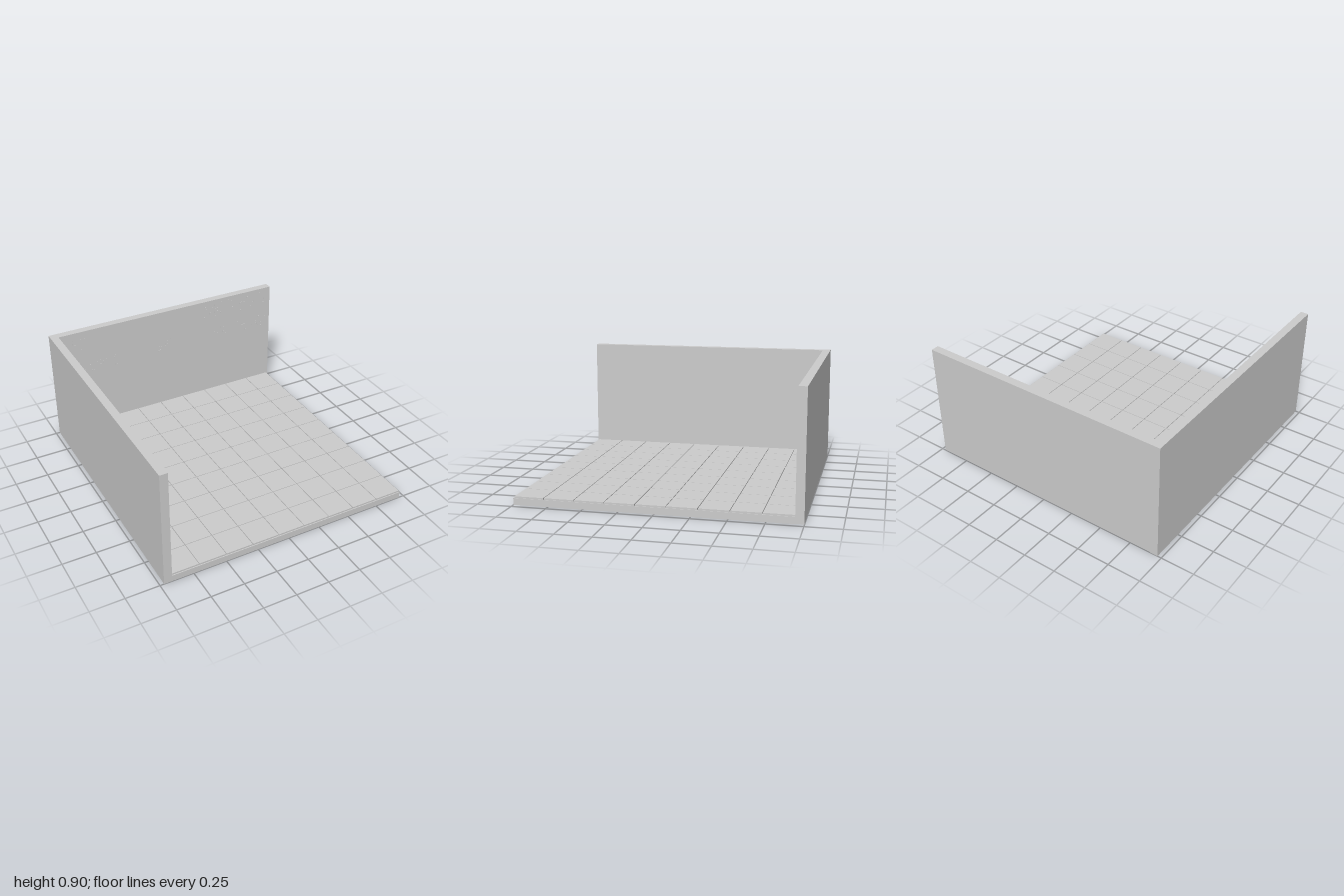
import * as THREE from 'three';

const material = new THREE.MeshStandardMaterial({ color: 0xcccccc, flatShading: true });

// Box given by its lower and upper corners
function box(name, [x0, y0, z0], [x1, y1, z1]) {
  const geometry = new THREE.BoxGeometry(x1 - x0, y1 - y0, z1 - z0);
  const mesh = new THREE.Mesh(geometry, material);
  mesh.name = name;
  mesh.position.set((x0 + x1) / 2, (y0 + y1) / 2, (z0 + z1) / 2);
  return mesh;
}

// Small seeded generator
function seeded(seed) {
  return () => {
    seed = (seed * 16807) % 2147483647;
    return seed / 2147483647;
  };
}

// Grid of square floor tiles with narrow joints
function createTiles() {
  const tiles = new THREE.Group();
  tiles.name = 'floorTiles';
  const count = 9, joint = 0.005;
  const x0 = -0.91, z0 = -0.94;
  const dx = (0.96 - x0) / count, dz = (0.998 - z0) / count;
  for (let i = 0; i < count; i++) {
    for (let j = 0; j < count; j++) {
      const x = x0 + i * dx, z = z0 + j * dz;
      tiles.add(box('floorTile', [x, 0.045, z], [x + dx - joint, 0.06, z + dz - joint]));
    }
  }
  return tiles;
}

// Scattered plaster specks, barely proud of the back wall
function createSpecks() {
  const specks = new THREE.Group();
  specks.name = 'plasterSpecks';
  const random = seeded(17);
  // x start, x end, centre height, number of specks
  const patches = [
    [-0.82, -0.62, 0.78, 10], [-0.82, -0.46, 0.58, 24], [-0.11, 0.08, 0.6, 12],
    [0.31, 0.92, 0.8, 36], [0.41, 0.93, 0.6, 30],
  ];
  for (const [xa, xb, yc, count] of patches) {
    for (let i = 0; i < count; i++) {
      const x = xa + (xb - xa) * random(), y = yc + (random() - 0.5) * 0.11;
      const w = 0.006 + 0.008 * random(), h = 0.006 + 0.01 * random();
      specks.add(box('speck', [x, y, -0.942], [x + w, y + h, -0.937]));
    }
  }
  return specks;
}

export function createModel() {
  const model = new THREE.Group();
  model.name = 'roomCorner';
  // Floor slab and the two walls
  model.add(box('floorSlab', [-0.91, 0, -0.94], [0.96, 0.048, 1]));
  model.add(box('sideWall', [-0.97, 0, -1], [-0.91, 0.9, 1]));
  model.add(box('backWall', [-0.91, 0.004, -1], [0.967, 0.9, -0.94]));
  model.add(createTiles(), createSpecks());
  return model;
}
